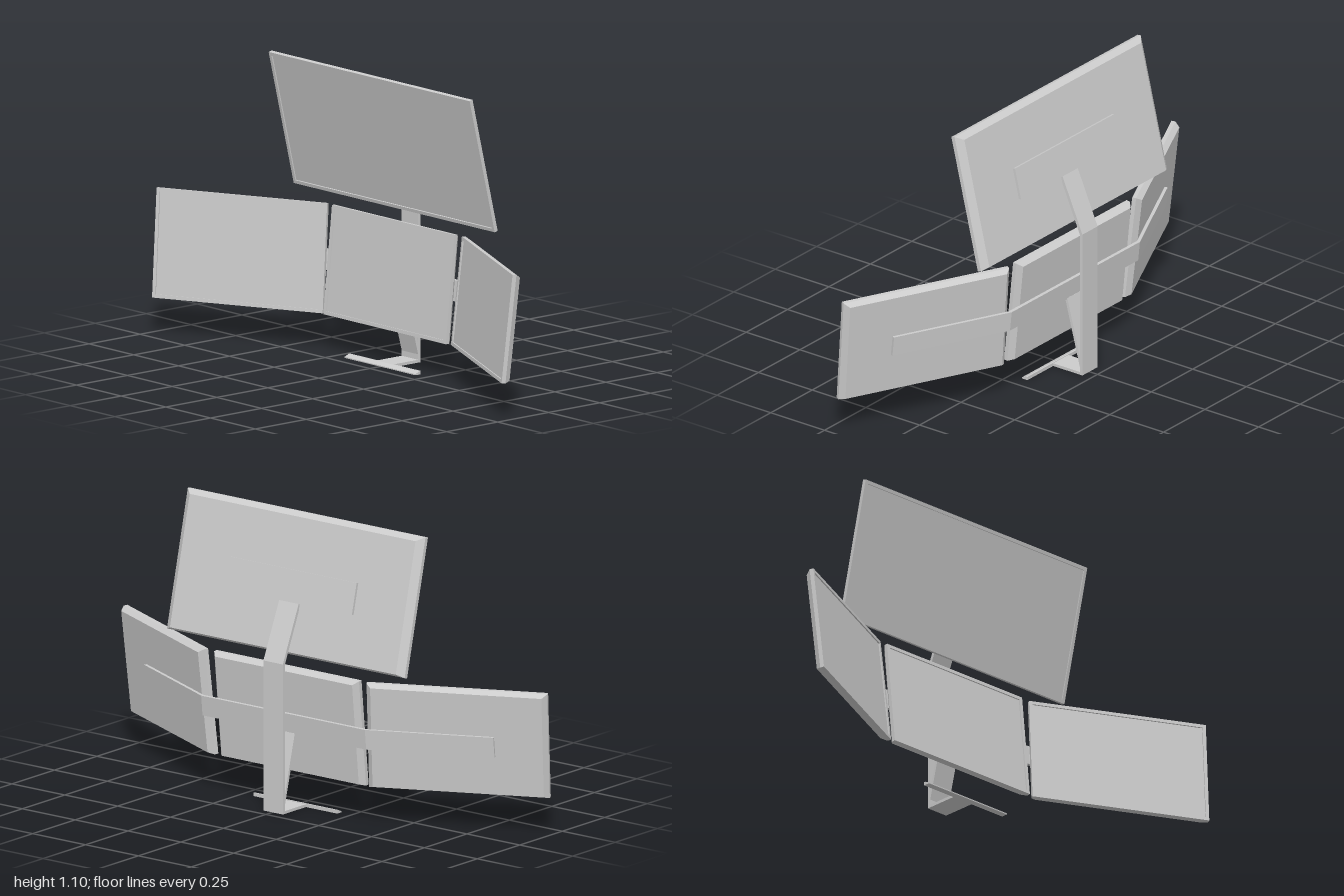
import * as THREE from 'three';

const grey = new THREE.MeshStandardMaterial({ color: 0xcccccc, flatShading: true });
const rad = THREE.MathUtils.degToRad;
const OFFSET = -0.004; // the stand and middle screens sit a hair off centre

function addMesh(parent, name, geometry) {
  const mesh = new THREE.Mesh(geometry, grey);
  mesh.name = name;
  parent.add(mesh);
  return mesh;
}

// Side outline in (z, y), extruded to a width along x
function sideProfile(points, width) {
  const shape = new THREE.Shape(points.map(([z, y]) => new THREE.Vector2(z, y)));
  return new THREE.ExtrudeGeometry(shape, { depth: width, bevelEnabled: false })
    .rotateY(-Math.PI / 2).translate(width / 2, 0, 0);
}

// Rectangular loops joined front to back, capped at both ends
function loftRectangles(loops) {
  const pos = [];
  const rings = loops.map(({ w, top, bottom, z }) => [
    [-w / 2, bottom, z], [w / 2, bottom, z], [w / 2, top, z], [-w / 2, top, z]]);
  const quad = (a, b, c, d) => pos.push(...a, ...b, ...c, ...a, ...c, ...d);
  quad(...rings[0]);
  for (let r = 0; r < rings.length - 1; r++) {
    for (let i = 0; i < 4; i++) {
      const j = (i + 1) % 4;
      quad(rings[r][i], rings[r + 1][i], rings[r + 1][j], rings[r][j]);
    }
  }
  quad(...rings[rings.length - 1].slice().reverse());
  const g = new THREE.BufferGeometry();
  g.setAttribute('position', new THREE.Float32BufferAttribute(pos, 3));
  g.computeVertexNormals();
  return g;
}

// Panel with recessed screen, thin bezel and chamfered back; front face at z = 0
function monitor(name, w, h, chamfer) {
  const group = new THREE.Group();
  group.name = name;
  group.rotation.order = 'YXZ';
  const bezel = 0.013;
  const loop = (inX, inTop, inBottom, z) => ({ w: w - 2 * inX, top: h / 2 - inTop, bottom: -h / 2 + inBottom, z });
  addMesh(group, 'screenPanel', loftRectangles([
    loop(bezel, bezel, bezel, -0.005),
    loop(bezel, bezel, bezel, 0),
    loop(0, 0, 0, 0),
    loop(0, 0, 0, -0.015),
    loop(...chamfer, -0.035),
  ]));
  return group;
}

export function createModel() {
  const model = new THREE.Group();
  model.name = 'multiMonitorStand';

  // Large upper screen, leaning forward, with its mounting plate
  const upper = monitor('upperMonitor', 1.124, 0.527, [0.028, 0.02, 0.008]);
  upper.position.set(OFFSET, 0.845, -0.0615);
  upper.rotation.x = rad(13.5);
  const plate = addMesh(upper, 'upperMountPlate', new THREE.BoxGeometry(0.6, 0.12, 0.012));
  plate.position.set(0, -0.012, -0.039);
  model.add(upper);

  // Lower row: centre screen and two angled wings, all leaning back
  for (const [name, side] of [['rightMonitor', -1], ['centreMonitor', 0], ['leftMonitor', 1]]) {
    const m = monitor(name, 0.685, 0.409, [0.018, 0.012, 0.008]);
    m.position.set(side ? side * 0.677 : OFFSET, 0.34, side ? 0.045 : -0.097);
    m.rotation.set(rad(-5.9), rad(-25.4 * side), 0);
    model.add(m);
  }

  // Bent support bar behind the lower row: plan outline raised and leaned back
  const back = [[0.387, -0.145], [0.826, 0.064]];
  const front = [[0.821, 0.075], [0.387, -0.131]];
  const half = [...back, ...front];
  const mirrored = half.map(([x, z]) => [-x, z]).reverse();
  const plan = new THREE.Shape([...half, ...mirrored].map(([x, z]) => new THREE.Vector2(x, -z)));
  const barHeight = 0.077;
  const barGeo = new THREE.ExtrudeGeometry(plan, { depth: barHeight, bevelEnabled: false })
    .rotateX(-Math.PI / 2).translate(0, 0.29, 0);
  const p = barGeo.attributes.position;
  for (let i = 0; i < p.count; i++) p.setZ(i, p.getZ(i) - (p.getY(i) - 0.328) * 0.104);
  barGeo.computeVertexNormals();
  addMesh(model, 'supportBar', barGeo);

  // Post made of one folded strip: foot, upright and leaning neck
  const post = addMesh(model, 'post', sideProfile([
    [-0.074, 0], [-0.212, 0], [-0.212, 0.573], [-0.119, 0.785],
    [-0.106, 0.785], [-0.2, 0.57], [-0.2, 0.011], [-0.074, 0.011]], 0.092));
  post.position.x = OFFSET;

  // Slanted strut from the foot of the post up to the bar
  const strut = addMesh(model, 'strut', sideProfile([
    [-0.203, 0.02], [-0.203, 0.06], [-0.142, 0.295], [-0.131, 0.295]], 0.092));
  strut.position.x = OFFSET;

  // Wide foot bar with a sloped front edge
  addMesh(model, 'footBar', sideProfile([
    [-0.05, 0], [-0.076, 0], [-0.076, 0.013], [-0.07, 0.013], [-0.05, 0.004]], 0.396));

  return model;
}
